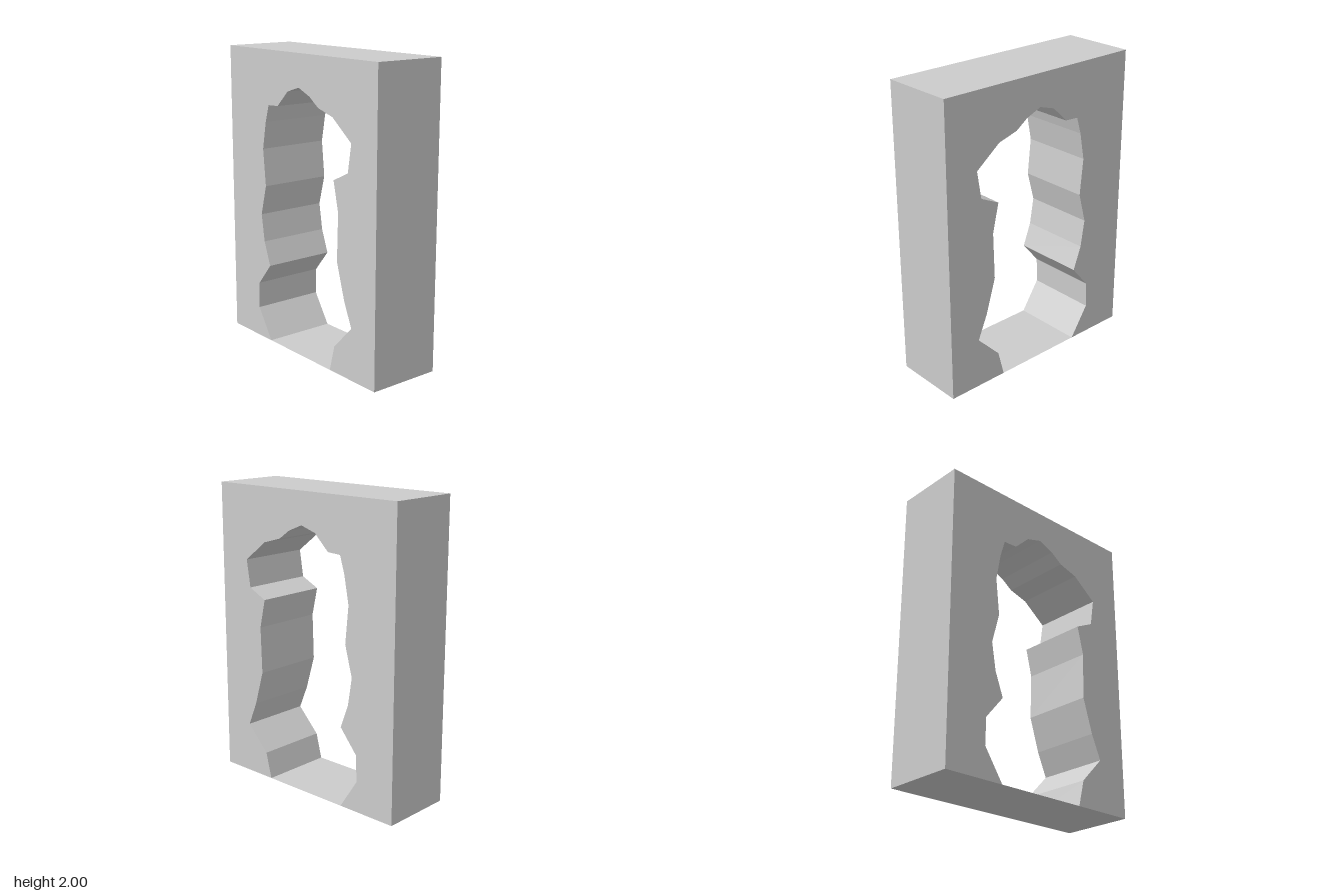
import * as THREE from 'three';

const WIDTH = 1.5, HEIGHT = 2, DEPTH = 0.5;

// Ragged edge of the opening, from the foot at +x over the top to the foot at -x
const OPENING = [
  [0.32, 0], [0.365, 0.175], [0.53, 0.345], [0.46, 0.51], [0.39, 0.745],
  [0.4, 1.06], [0.355, 1.255], [0.49, 1.32], [0.52, 1.505], [0.345, 1.64],
  [0.205, 1.68], [0.12, 1.74], [0.01, 1.785], [-0.105, 1.75], [-0.215, 1.645],
  [-0.315, 1.64], [-0.35, 1.525], [-0.385, 1.34], [-0.36, 1.09], [-0.415, 0.885],
  [-0.385, 0.7], [-0.325, 0.54], [-0.455, 0.385], [-0.46, 0.205], [-0.325, 0],
];

export function createModel() {
  const model = new THREE.Group();
  model.name = 'brokenWall';

  // Wall slab with the broken doorway cut out of its lower edge
  const w = WIDTH / 2;
  const outline = [...OPENING].reverse().concat([[w, 0], [w, HEIGHT], [-w, HEIGHT], [-w, 0]]);
  const shape = new THREE.Shape(outline.map(([x, y]) => new THREE.Vector2(x, y)));
  const wallGeometry = new THREE.ExtrudeGeometry(shape, { depth: DEPTH, bevelEnabled: false });
  wallGeometry.translate(0, 0, -DEPTH / 2);
  const wall = new THREE.Mesh(
    wallGeometry,
    new THREE.MeshStandardMaterial({ color: 0xcccccc, flatShading: true })
  );
  wall.name = 'wall';
  model.add(wall);

  // Paper-thin threshold closing the foot of the opening
  const right = OPENING[0][0], left = OPENING[OPENING.length - 1][0];
  const threshold = new THREE.Mesh(
    new THREE.PlaneGeometry(right - left, DEPTH).rotateX(-Math.PI / 2),
    new THREE.MeshStandardMaterial({ color: 0xcccccc, side: THREE.DoubleSide })
  );
  threshold.name = 'threshold';
  threshold.position.x = (right + left) / 2;
  model.add(threshold);

  return model;
}
